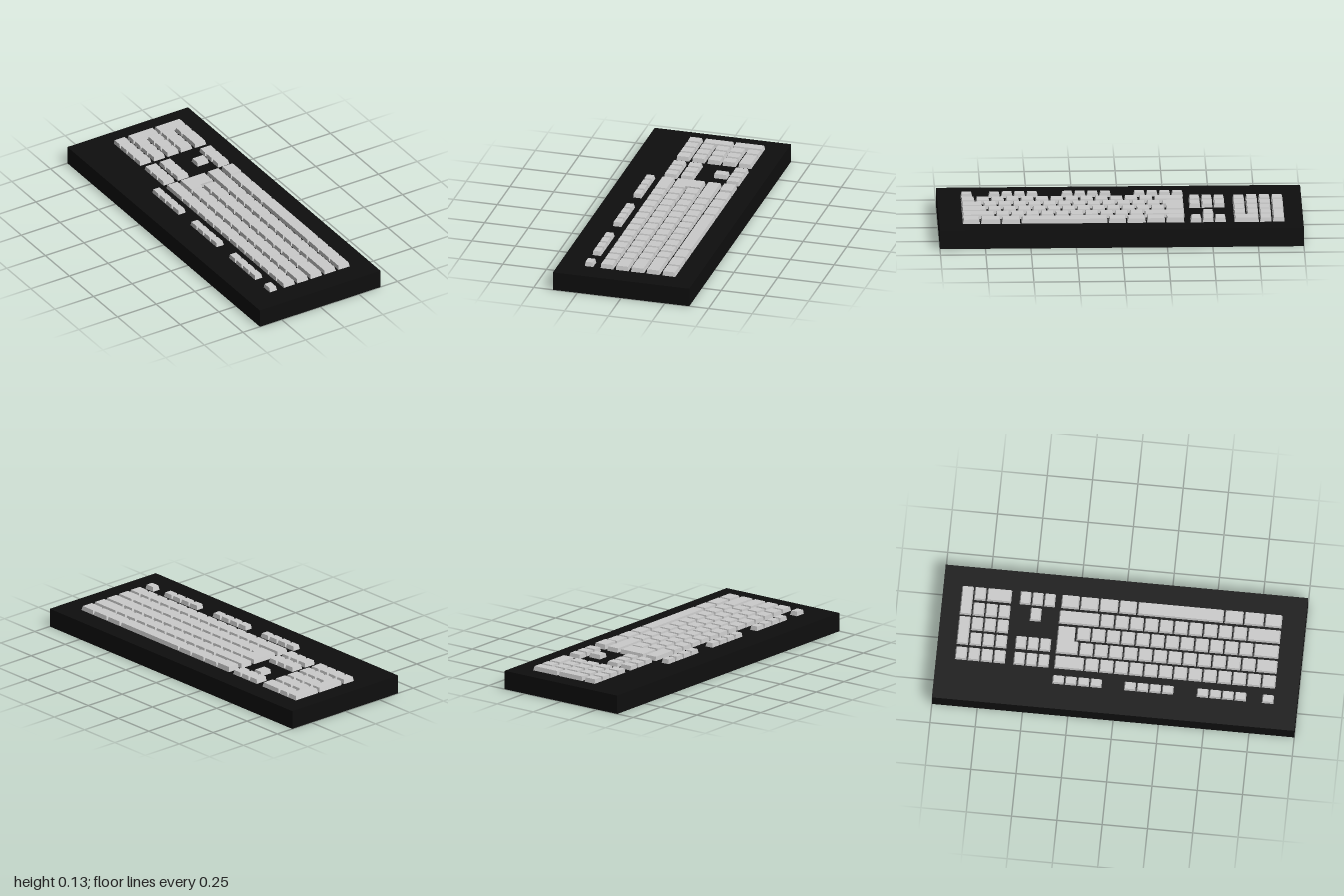
import * as THREE from 'three';

const CASE_TOP = 0.105;
const UNIT = 0.0815; // pitch of the letter keys along z

const keyMat = new THREE.MeshStandardMaterial({ color: 0xcccccc, flatShading: true });
const blackMat = new THREE.MeshStandardMaterial({ color: 0x0e0e0e, flatShading: true });

// Tapered cap: extrude the [x, z] outline upwards and draw in its top rim
function makeKey(name, outline, height = 0.024) {
  const shape = new THREE.Shape(outline.map(([x, z]) => new THREE.Vector2(x, -z)));
  const geo = new THREE.ExtrudeGeometry(shape, { depth: height, bevelEnabled: false });
  geo.rotateX(-Math.PI / 2);
  geo.computeBoundingBox();
  const { min, max } = geo.boundingBox;
  const p = geo.attributes.position;
  for (let i = 0; i < p.count; i++) {
    if (p.getY(i) < height / 2) continue;
    p.setX(i, THREE.MathUtils.clamp(p.getX(i), min.x + 0.002, max.x - 0.005));
    p.setZ(i, THREE.MathUtils.clamp(p.getZ(i), min.z + 0.006, max.z - 0.006));
  }
  geo.computeVertexNormals();
  const mesh = new THREE.Mesh(geo, keyMat);
  mesh.name = name;
  mesh.position.y = CASE_TOP;
  return mesh;
}

function rectKey(name, [x0, x1], z0, z1, height) {
  const g = 0.003; // half the gap between neighbours
  return makeKey(name, [[x0, z0 + g], [x1, z0 + g], [x1, z1 - g], [x0, z1 - g]], height);
}

// Line of keys running from z = start towards -z with the given lengths
function keyLine(group, name, column, start, lengths, heights = []) {
  let z = start;
  lengths.forEach((len, i) => {
    group.add(rectKey(name, column, z - len, z, heights[i]));
    z -= len;
  });
}

const repeat = (n, len) => Array(n).fill(len);

export function createModel() {
  const model = new THREE.Group();
  model.name = 'keyboard';

  // Case: black body with a grey underside
  const body = new THREE.Mesh(
    new THREE.BoxGeometry(0.78, CASE_TOP, 2),
    [blackMat, blackMat, blackMat, keyMat, blackMat, blackMat]
  );
  body.name = 'case';
  body.position.y = CASE_TOP / 2;
  model.add(body);

  // Columns across the case, as x ranges
  const F = [-0.245, -0.198];
  const A = [-0.155, -0.083];
  const B = [-0.068, 0.004];
  const C = [0.019, 0.093];
  const D = [0.108, 0.182];
  const E = [0.199, 0.272];

  // Small keys of the top row
  const topRow = new THREE.Group();
  topRow.name = 'topRowKeys';
  keyLine(topRow, 'escapeKey', F, 0.873, [0.07]);
  for (const start of [0.721, 0.32, -0.076]) {
    keyLine(topRow, 'topRowKey', F, start, repeat(4, 0.0695));
  }

  // Main block
  const main = new THREE.Group();
  main.name = 'mainKeys';
  const edge = 0.874;
  keyLine(main, 'numberKey', A, edge, [...repeat(13, UNIT), 0.167]);
  keyLine(main, 'upperLetterKey', B, edge, [0.12, ...repeat(12, UNIT)]);
  keyLine(main, 'middleLetterKey', C, edge, [0.143, ...repeat(12, UNIT)]);
  keyLine(main, 'lowerLetterKey', D, edge, [0.185, ...repeat(10, UNIT), 0.227]);
  keyLine(main, 'bottomRowKey', E, edge,
    [0.1, 0.114, 0.108, 0.48, 0.102, 0.108, 0.106, 0.105],
    [...repeat(7, 0.024), 0.028]);

  // L-shaped enter key over two columns
  main.add(makeKey('enterKey', [
    [-0.067, -0.35], [0.091, -0.35], [0.091, -0.253],
    [0.004, -0.253], [0.004, -0.229], [-0.067, -0.229],
  ]));

  // Navigation and arrow keys
  const nav = new THREE.Group();
  nav.name = 'navigationKeys';
  keyLine(nav, 'navigationKey', A, -0.377, repeat(3, 0.067));
  keyLine(nav, 'navigationKey', [-0.062, 0.01], -0.377, repeat(3, 0.067));
  keyLine(nav, 'upArrowKey', D, -0.446, [0.067]);
  keyLine(nav, 'arrowKey', E, -0.377, repeat(3, 0.067));

  // Number pad, with its two long keys lying across the columns
  const pad = new THREE.Group();
  pad.name = 'numberPad';
  const padStart = -0.618, padUnit = 0.0705;
  keyLine(pad, 'padKey', A, padStart, repeat(4, padUnit));
  for (const column of [[-0.066, 0.006], [0.022, 0.096], D]) {
    keyLine(pad, 'padKey', column, padStart, repeat(3, padUnit));
  }
  keyLine(pad, 'padKey', E, padStart, [padUnit * 2, padUnit]);
  keyLine(pad, 'padPlusKey', [-0.066, 0.096], padStart - 3 * padUnit, [padUnit]);
  keyLine(pad, 'padEnterKey', [0.108, 0.272], padStart - 3 * padUnit, [padUnit]);

  model.add(topRow, main, nav, pad);
  return model;
}
